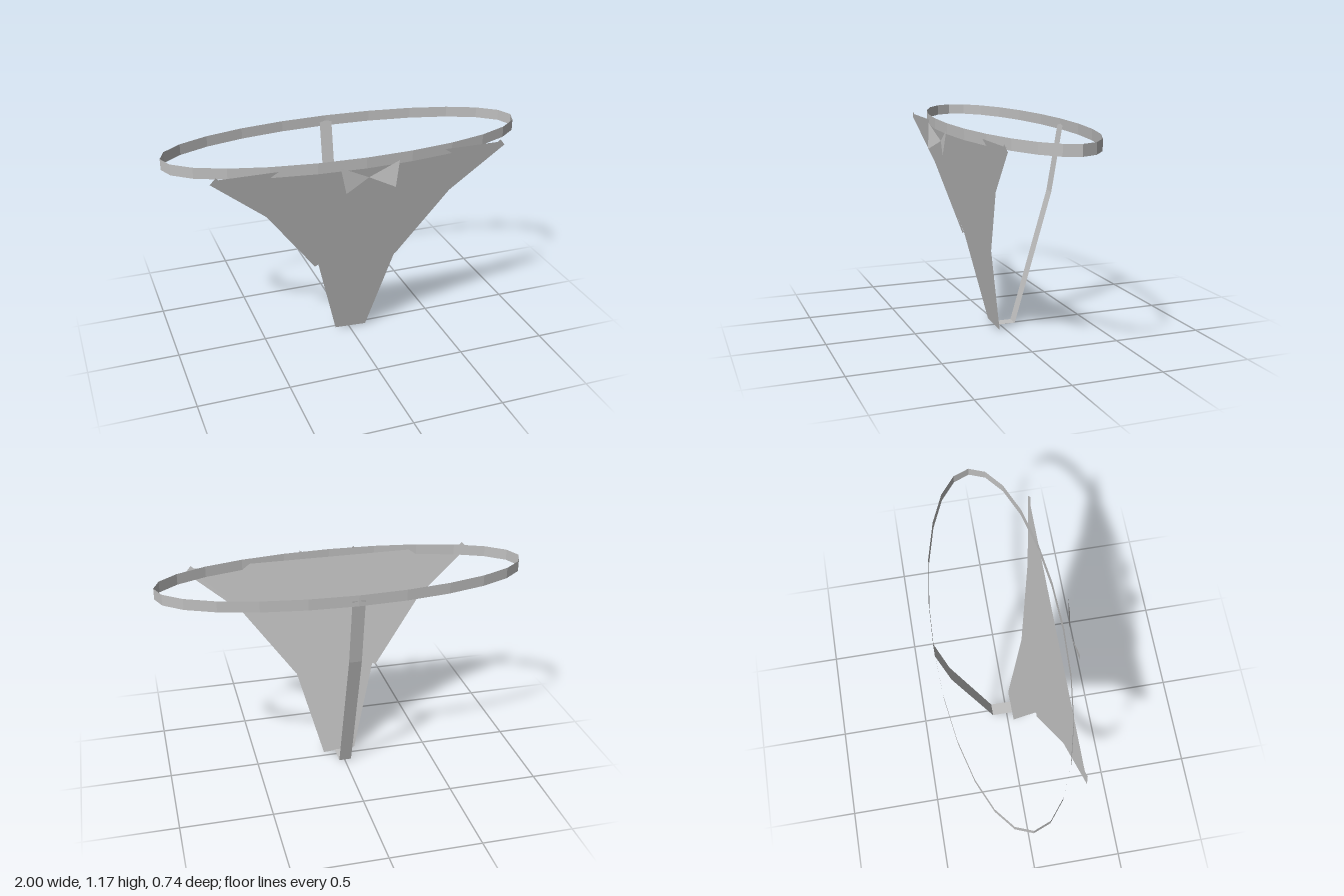
import * as THREE from 'three';

export function createModel() {
  const model = new THREE.Group();
  const cloth = new THREE.MeshStandardMaterial({ color: 0xc0c0c0, side: THREE.DoubleSide, flatShading: true });
  cloth.name = 'grey cloth';

  const add = (name, geometry) => {
    const mesh = new THREE.Mesh(geometry, cloth);
    mesh.name = name;
    model.add(mesh);
    return mesh;
  };

  // Flat outline laid onto a surface given by depth(x, y)
  const sheet = (points, depth) => {
    const geometry = new THREE.ShapeGeometry(new THREE.Shape(points.map(([x, y]) => new THREE.Vector2(x, y))));
    const p = geometry.attributes.position;
    for (let i = 0; i < p.count; i++) p.setZ(i, depth(p.getX(i), p.getY(i)));
    geometry.computeVertexNormals();
    return geometry;
  };
  const slope = (x, y) => 0.033 + 0.2 * y;

  // Oval ribbon around the waist
  const band = add('waistband', new THREE.CylinderGeometry(1, 1, 0.06, 24, 1, true));
  band.scale.z = 0.335;
  band.position.set(0, 1.14, -0.035);

  // Sloping front panel
  add('frontPanel', sheet([
    [-0.085, 0.01], [0.1, 0], [0.235, 0.5], [0.51, 0.88], [0.79, 1.14],
    [-0.79, 1.14], [-0.51, 0.88], [-0.215, 0.5],
  ], slope));

  for (const side of [1, -1]) {
    const label = side > 0 ? 'left' : 'right';

    // Trim along the upper leg opening
    const trim = [[0.81, 1.12], [0.78, 1.155], [0.49, 0.9], [0.21, 0.508], [0.237, 0.495], [0.517, 0.876]];
    add(label + 'Trim', sheet(trim.map(([x, y]) => [side * x, y]), (x, y) => slope(x, y) + 0.004));

    // Triangular bow loop, angled forward from the knot
    const loop = [[0, 1.075], [0.135, 1.015], [0.16, 1.155]];
    add(label + 'BowLoop', sheet(loop.map(([x, y]) => [side * x, y]),
      (x, y) => (x === 0 ? 0.335 : y > 1.1 ? 0.354 : 0.368)));
  }

  // Narrow back strap running down and under to the panel
  const path = [[1.14, -0.37], [0.76, -0.305], [0.008, -0.085], [0.008, 0.034]];
  const strap = new THREE.PlaneGeometry(0.07, 1, 1, path.length - 1);
  const p = strap.attributes.position;
  path.forEach(([y, z], row) => {
    for (let c = 0; c < 2; c++) p.setXYZ(row * 2 + c, c ? -0.035 : 0.035, y, z);
  });
  strap.computeVertexNormals();
  add('backStrap', strap);

  return model;
}
